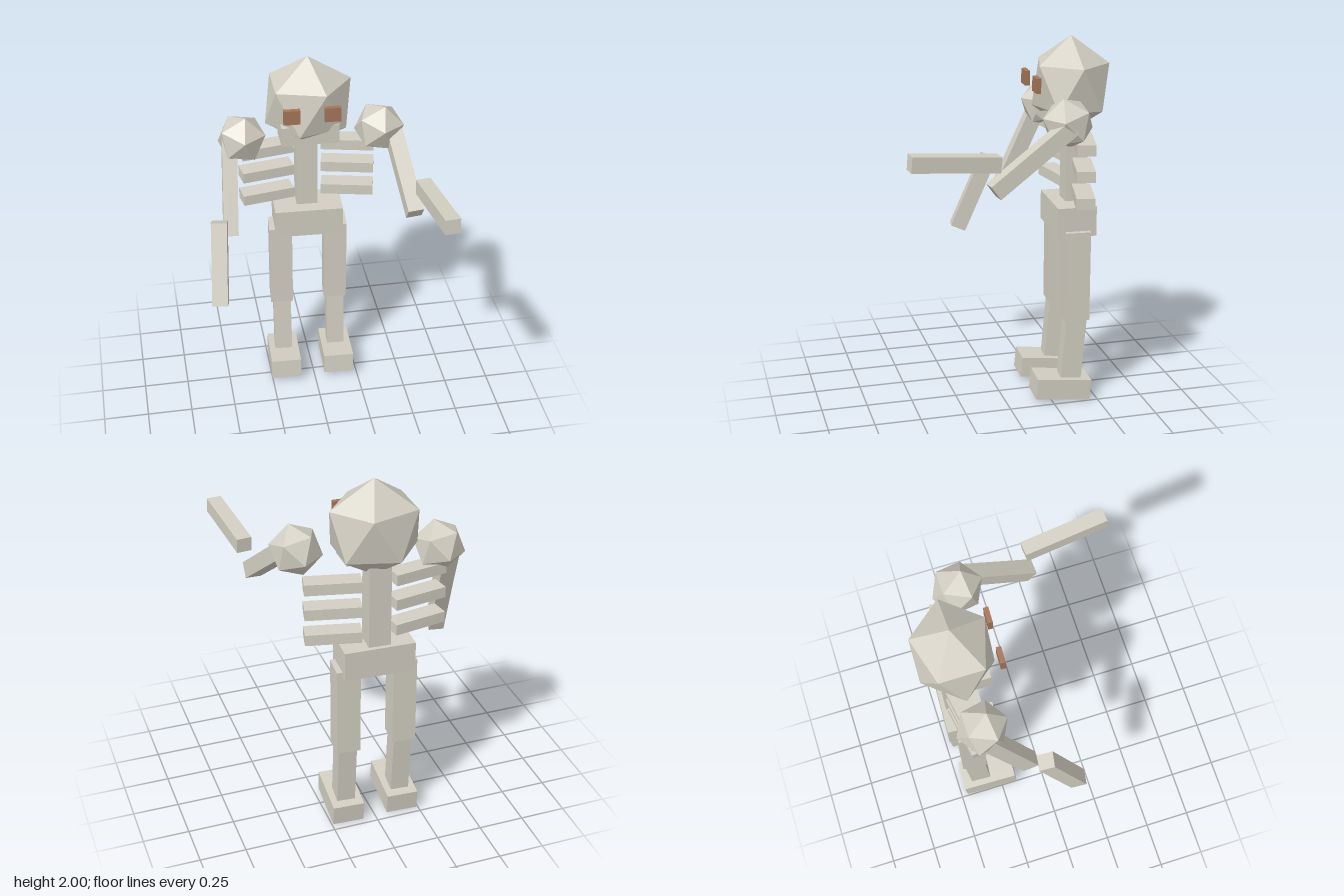
import * as THREE from 'three';

export function createModel() {
  const model = new THREE.Group();
  model.name = 'skeleton';
  const bone = new THREE.MeshStandardMaterial({ color: 0xd2cec2, flatShading: true });
  bone.name = 'bone';
  const brown = new THREE.MeshStandardMaterial({ color: 0xa6765a, flatShading: true });
  brown.name = 'brown eyes';

  function add(name, geometry, position, rotation = [0, 0, 0], material = bone) {
    const mesh = new THREE.Mesh(geometry, material);
    mesh.name = name;
    mesh.position.set(...position);
    mesh.rotation.set(...rotation);
    model.add(mesh);
    return mesh;
  }
  function box(name, size, position, rotation, material) {
    return add(name, new THREE.BoxGeometry(...size), position, rotation, material);
  }
  // Square bone between two points; twist is the z lean of its side axis
  function limb(name, from, to, width, depth, twist = 0) {
    const a = new THREE.Vector3(...from), b = new THREE.Vector3(...to);
    const along = b.clone().sub(a);
    const length = along.length();
    along.normalize();
    const side = new THREE.Vector3(1, 0, twist);
    side.addScaledVector(along, -side.dot(along)).normalize();
    const third = along.clone().cross(side);
    const mesh = box(name, [width, depth, length], a.add(b).multiplyScalar(0.5).toArray());
    mesh.quaternion.setFromRotationMatrix(new THREE.Matrix4().makeBasis(side, third, along));
  }

  // Skull: icosahedron with a corner straight up, narrowed front to back
  const skull = new THREE.IcosahedronGeometry(1, 0);
  skull.rotateZ(-Math.atan2(2, 1 + Math.sqrt(5)));
  skull.scale(0.26, 0.262, 0.226);
  add('skull', skull, [0, 1.738, -0.392]);
  box('jaw', [0.312, 0.11, 0.16], [-0.008, 1.605, -0.325]);
  box('rightEye', [0.088, 0.08, 0.026], [-0.118, 1.764, -0.179], [0, -0.03, 0], brown);
  box('leftEye', [0.086, 0.08, 0.026], [0.099, 1.764, -0.177], [0, -0.03, 0], brown);

  // Trunk
  box('spine', [0.117, 0.5, 0.117], [-0.008, 1.35, -0.42], [0, -0.04, 0]);
  box('pelvis', [0.38, 0.163, 0.213], [-0.006, 1.02, -0.394], [0, -0.04, 0]);
  for (const y of [1.461, 1.32, 1.175]) {
    box('leftRib', [0.29, 0.06, 0.0985], [0.222, y, -0.403], [0, -0.225, 0]);
    box('rightRib', [0.29, 0.06, 0.0985], [-0.231, y, -0.403], [0, 0.17, 0]);
  }

  // Shoulders and arms, posed differently on each side
  const shoulder = new THREE.IcosahedronGeometry(0.138, 0);
  shoulder.rotateX(-Math.PI / 4);
  add('leftShoulder', shoulder, [0.365, 1.615, -0.265], [0, 0, -0.2]);
  add('rightShoulder', shoulder, [-0.366, 1.562, -0.357], [0, 0, -0.15]);
  limb('leftUpperArm', [0.435, 1.615, -0.263], [0.48, 1.315, 0.155], 0.085, 0.085);
  limb('leftForearm', [0.52, 1.472, 0.138], [0.561, 1.513, 0.595], 0.08, 0.08, -0.08);
  limb('rightUpperArm', [-0.433, 1.562, -0.355], [-0.465, 1.087, -0.146], 0.08, 0.088, 0.04);
  limb('rightForearm', [-0.53, 1.225, -0.077], [-0.56, 0.81, 0.1], 0.085, 0.088, 0.17);

  // Legs
  for (const [side, x] of [['left', 0.149], ['right', -0.163]]) {
    box(side + 'Thigh', [0.128, 0.503, 0.137], [x, 0.718, -0.39], [0, -0.08, 0]);
    limb(side + 'Shin', [x + 0.002, 0.1, -0.36], [x + 0.002, 0.58, -0.4], 0.1, 0.113, 0.08);
    box(side + 'Foot', [0.172, 0.115, 0.305], [x, 0.073, -0.313], [-0.097, -0.05, 0]);
  }
  return model;
}
